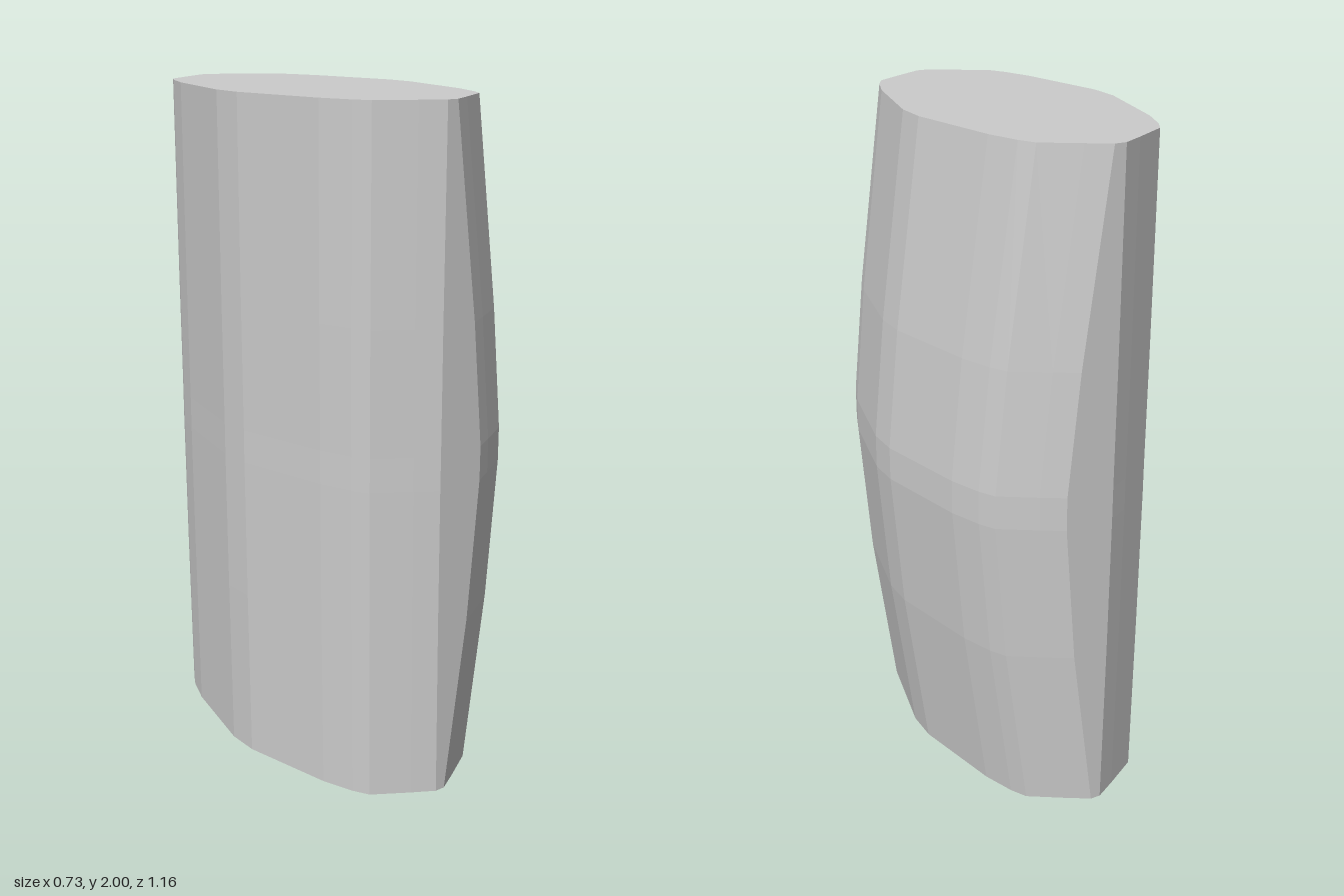
import * as THREE from 'three';

// Quarter outline [x, z] from the side face round to the narrow end
const QUARTER = [[0.367, 0.05], [0.305, 0.335], [0.27, 0.43], [0.243, 0.478], [0.14, 0.542], [0.075, 0.58]];

// Levels [y, shift of the bowed +x half, shift of the straight -x half]
const LEVELS = [
  [0, -0.107, 0.012], [0.52, -0.035, 0.006], [0.94, 0, 0.003],
  [1.04, 0, 0.003], [1.4, -0.035, 0.001], [2, -0.115, 0],
];

// Closed outline at one level, running +x, +z, -x, -z
function section([y, right, left]) {
  const front = [
    ...QUARTER.map(([x, z]) => [x + right, y, z]),
    ...[...QUARTER].reverse().map(([x, z]) => [-x + left, y, z]),
  ];
  const back = [...front].reverse().map(([x, h, z]) => [x, h, -z]);
  return [...front, ...back];
}

function bodyGeometry() {
  const rings = LEVELS.map(section);
  const n = rings[0].length;
  const top = (rings.length - 1) * n;
  const points = rings.flat();
  const bottomCentre = points.push([-0.05, 0, 0]) - 1;
  const topCentre = points.push([-0.06, 2, 0]) - 1;
  const index = [];
  for (let j = 0; j < n; j++) {
    const k = (j + 1) % n;
    // Side facets
    for (let i = 0; i < rings.length - 1; i++) {
      const a = i * n + j, b = i * n + k;
      index.push(a, a + n, b + n, a, b + n, b);
    }
    // Flat end caps
    index.push(bottomCentre, j, k, topCentre, top + k, top + j);
  }
  const geometry = new THREE.BufferGeometry();
  geometry.setAttribute('position', new THREE.Float32BufferAttribute(points.flat(), 3));
  geometry.setIndex(index);
  geometry.computeVertexNormals();
  return geometry;
}

export function createModel() {
  const group = new THREE.Group();
  group.name = 'bowedBlock';
  const material = new THREE.MeshStandardMaterial({ color: 0xcccccc, flatShading: true });
  const body = new THREE.Mesh(bodyGeometry(), material);
  body.name = 'body';
  group.add(body);
  return group;
}
